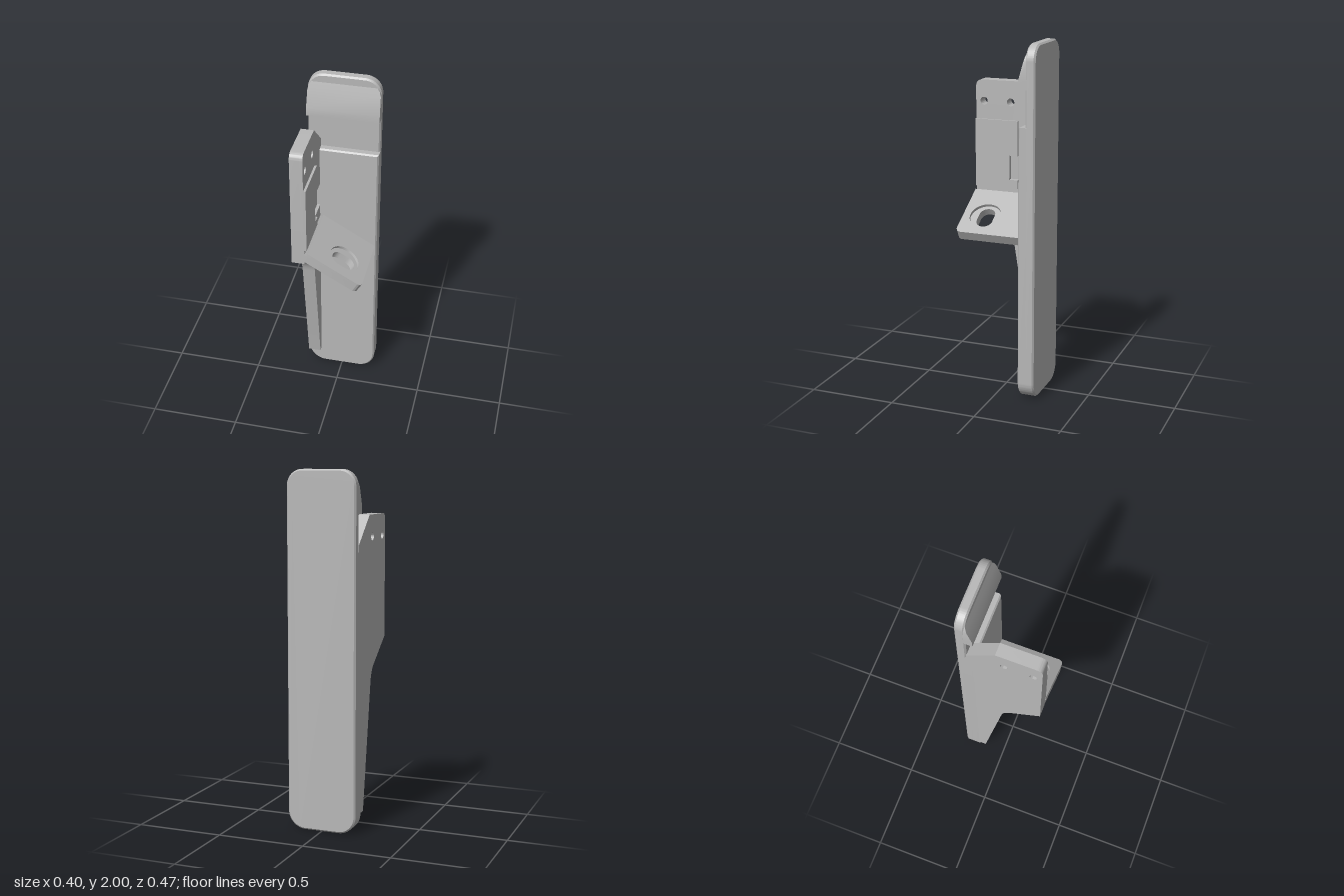
import * as THREE from 'three';
import { toCreasedNormals } from 'three/addons/utils/BufferGeometryUtils.js';

const grey = new THREE.MeshStandardMaterial({ color: 0xb8b8b8 });
grey.name = 'plain grey';

function addMesh(group, name, geometry) {
  const mesh = new THREE.Mesh(toCreasedNormals(geometry, 0.6), grey);
  mesh.name = name;
  group.add(mesh);
}

// Rectangle with its own radius at each corner: bottom right, top right, top left, bottom left
function roundedRect(x0, y0, x1, y1, br, tr, tl, bl) {
  const s = new THREE.Shape();
  s.moveTo(x0 + bl, y0);
  s.lineTo(x1 - br, y0);
  if (br) s.absarc(x1 - br, y0 + br, br, -Math.PI / 2, 0, false);
  s.lineTo(x1, y1 - tr);
  if (tr) s.absarc(x1 - tr, y1 - tr, tr, 0, Math.PI / 2, false);
  s.lineTo(x0 + tl, y1);
  if (tl) s.absarc(x0 + tl, y1 - tl, tl, Math.PI / 2, Math.PI, false);
  s.lineTo(x0, y0 + bl);
  if (bl) s.absarc(x0 + bl, y0 + bl, bl, Math.PI, Math.PI * 1.5, false);
  return s;
}

function circleHole(x, y, r) {
  return new THREE.Path().absarc(x, y, r, 0, Math.PI * 2, true);
}

// Upright slab with chamfered edges, from z0 to z1
function slab(shape, z0, z1, bevel) {
  return new THREE.ExtrudeGeometry(shape, {
    depth: z1 - z0 - 2 * bevel, bevelEnabled: true, bevelThickness: bevel,
    bevelSize: bevel, bevelOffset: -bevel, bevelSegments: 1, curveSegments: 12,
  }).translate(0, 0, z0 + bevel);
}

// Side profile drawn as (-z, y) and extruded from x0 to x1
function sidePlate(shape, x0, x1) {
  return new THREE.ExtrudeGeometry(shape, { depth: x1 - x0, bevelEnabled: false, curveSegments: 16 })
    .rotateY(Math.PI / 2).translate(x0, 0, 0);
}

// Side rib outline with its two screw holes
function ribShape() {
  const s = new THREE.Shape();
  s.moveTo(0.15, 0.105);
  s.lineTo(0.15, 1.555);
  s.lineTo(0.182, 1.56);
  s.lineTo(0.182, 1.6);
  s.lineTo(0.02, 1.752);
  s.lineTo(-0.195, 1.752);
  s.quadraticCurveTo(-0.235, 1.752, -0.235, 1.712);
  s.lineTo(-0.235, 1.05);
  s.lineTo(-0.05, 0.91);
  s.quadraticCurveTo(-0.015, 0.88, -0.005, 0.82);
  s.lineTo(0.108, 0.105);
  for (const z of [0.187, 0.027]) s.holes.push(circleHole(-z, 1.632, 0.022));
  return s;
}

// Tapered hook at the top, lofted through rows of [y, half width, front z]
function hookGeometry() {
  const rows = [[1.762, 0.2, -0.14], [1.81, 0.2, -0.14], [1.91, 0.198, -0.168],
    [1.935, 0.19, -0.175], [1.955, 0.176, -0.181]];
  const pos = [], index = [];
  for (const [y, w, z] of rows) pos.push(-w, y, -0.19, -w, y, z, w, y, z, w, y, -0.19);
  for (let i = 0; i < rows.length - 1; i++) {
    for (let j = 0; j < 4; j++) {
      const a = i * 4 + j, b = i * 4 + (j + 1) % 4;
      index.push(a, b, b + 4, a, b + 4, a + 4);
    }
  }
  const t = (rows.length - 1) * 4;
  index.push(0, 2, 1, 0, 3, 2, t, t + 1, t + 2, t, t + 2, t + 3);
  const g = new THREE.BufferGeometry();
  g.setAttribute('position', new THREE.Float32BufferAttribute(pos, 3));
  g.setIndex(index);
  return g;
}

// Shelf layer drawn as (along slope, -z), between two depths below the top face
function shelfLayer(u0, hole, top, bottom) {
  const s = roundedRect(u0, -0.235, 0.22, 0.15, 0.032, 0, 0, 0);
  s.holes.push(hole);
  return new THREE.ExtrudeGeometry(s, { depth: bottom - top, bevelEnabled: false, curveSegments: 24 })
    .translate(0, 0, -bottom)
    .rotateX(-Math.PI / 2)
    .rotateZ(-Math.PI / 6)
    .translate(0, 1.057, 0);
}

export function createModel() {
  const model = new THREE.Group();
  model.name = 'wall bracket';

  // Back plate: thin full-height layer and a thicker lower layer
  addMesh(model, 'backPlate', slab(roundedRect(-0.2, 0, 0.2, 2, 0.1, 0.09, 0.09, 0.1), -0.235, -0.18, 0.009));
  addMesh(model, 'backPlateFront', slab(roundedRect(-0.2, 0, 0.2, 1.56, 0.1, 0, 0, 0.1), -0.222, -0.14, 0.008));
  addMesh(model, 'topHook', hookGeometry());

  // Side rib: outer skin, inner skin with a shallow recess
  addMesh(model, 'ribOuter', sidePlate(ribShape(), -0.2, -0.145));
  const inner = ribShape();
  inner.holes.push(new THREE.Path([[-0.03, 1.19], [-0.03, 1.33], [0.14, 1.33], [0.14, 1.19]]
    .map(([x, y]) => new THREE.Vector2(x, y))));
  addMesh(model, 'ribInner', sidePlate(inner, -0.145, -0.128));

  // Raised pad on the inside of the rib, notched around the recess
  const pad = new THREE.Shape([[-0.235, 1.14], [0.02, 1.14], [0.02, 1.19], [-0.03, 1.19],
    [-0.03, 1.33], [0.02, 1.33], [0.02, 1.53], [-0.235, 1.53]]
    .map(([x, y]) => new THREE.Vector2(x, y)));
  addMesh(model, 'ribPad', sidePlate(pad, -0.128, -0.115));

  // Sloping shelf: round counterbore above a slotted hole
  const slot = new THREE.Path();
  slot.absarc(0.102, -0.103, 0.046, Math.PI / 2, -Math.PI / 2, true);
  slot.absarc(0.055, -0.103, 0.046, -Math.PI / 2, -Math.PI * 1.5, true);
  slot.closePath();
  addMesh(model, 'shelfTop', shelfLayer(-0.127, circleHole(0.077, -0.103, 0.09), 0, 0.016));
  addMesh(model, 'shelfBase', shelfLayer(-0.145, slot, 0.016, 0.058));

  return model;
}
